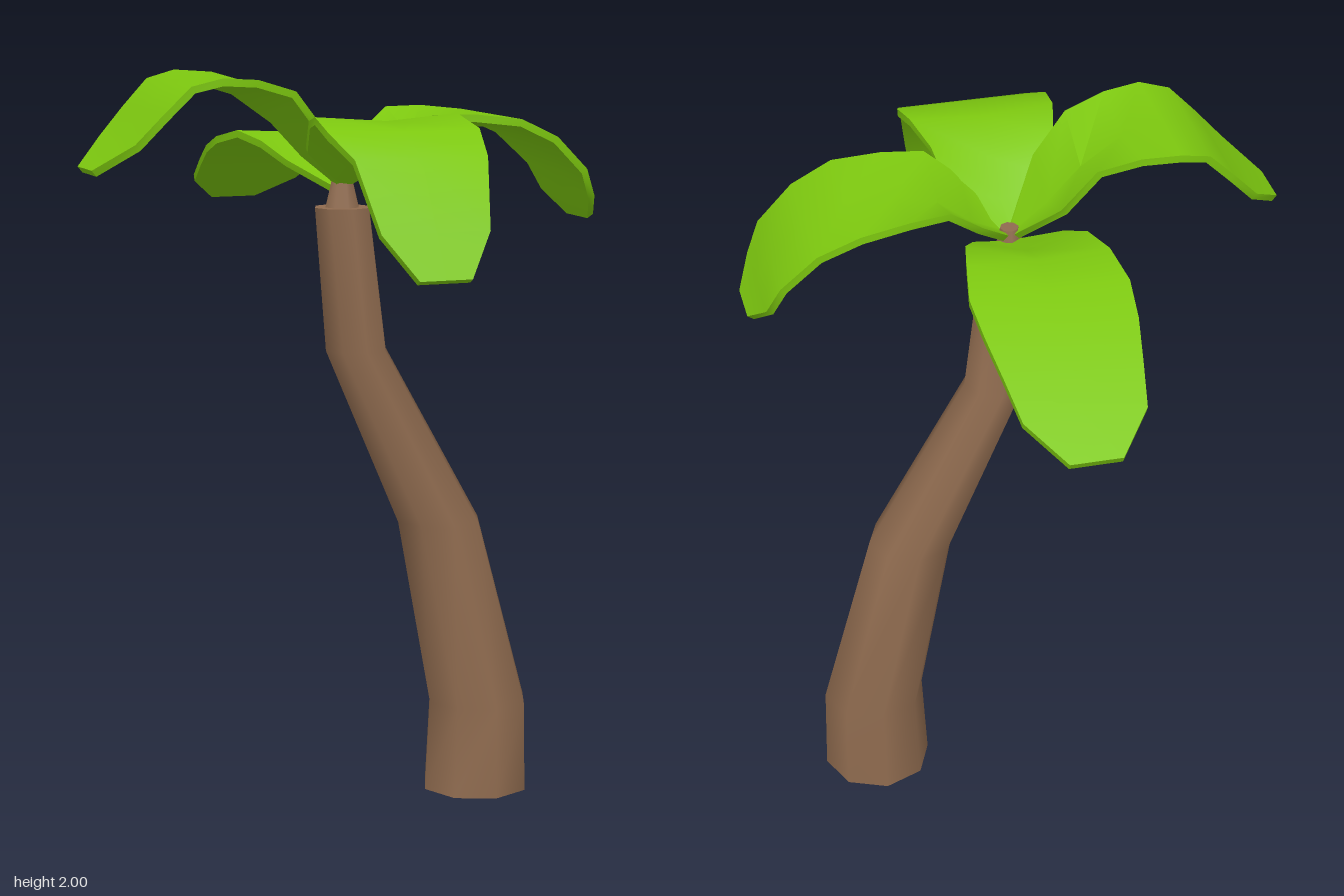
import * as THREE from 'three';
import { toCreasedNormals } from 'three/addons/utils/BufferGeometryUtils.js';

const CENTRE_Z = 0.095;
const LEAF_THICKNESS = 0.02;

// Trunk rings: [centre x, y, radius]
const TRUNK = [
  [0.4, 0, 0.15], [0.404, 0.25, 0.141], [0.283, 0.77, 0.118],
  [0.04, 1.255, 0.086], [0.0, 1.64, 0.077],
];

// Frond stations from base to tip: [distance out, edge height, half width, depth of the middle valley]
const FRONDS = {
  frontFrond: [-Math.PI / 2, [
    [0, 1.71, 0.015, 0], [0.1, 1.81, 0.14, 0.05], [0.19, 1.885, 0.165, 0.05], [0.315, 1.905, 0.195, 0.015],
    [0.435, 1.875, 0.205, 0], [0.55, 1.815, 0.178, 0], [0.645, 1.64, 0.145, 0], [0.71, 1.53, 0.07, 0]]],
  backFrond: [Math.PI / 2, [
    [0, 1.69, 0.015, 0], [0.1, 1.76, 0.12, 0.04], [0.19, 1.805, 0.16, 0.035], [0.315, 1.825, 0.185, 0.01],
    [0.435, 1.8, 0.205, 0], [0.555, 1.765, 0.195, 0], [0.675, 1.715, 0.175, 0], [0.79, 1.66, 0.155, 0],
    [0.9, 1.6, 0.067, 0]]],
  leftFrond: [0, [
    [0, 1.71, 0.015, 0], [0.1, 1.82, 0.14, 0.06], [0.19, 1.89, 0.167, 0.06], [0.3, 1.89, 0.187, 0.025],
    [0.43, 1.875, 0.203, 0], [0.54, 1.825, 0.19, 0], [0.635, 1.735, 0.175, 0], [0.67, 1.66, 0.15, 0],
    [0.708, 1.6, 0.065, 0]]],
  rightFrond: [Math.PI, [
    [0, 1.71, 0.015, 0], [0.1, 1.85, 0.15, 0.06], [0.19, 1.96, 0.167, 0.075], [0.3, 1.993, 0.187, 0.03],
    [0.4, 2.0, 0.203, 0], [0.48, 1.98, 0.19, 0], [0.55, 1.91, 0.177, 0], [0.62, 1.835, 0.16, 0],
    [0.708, 1.765, 0.065, 0]]],
};

// Bent, tapering trunk: every ring of a plain cylinder is moved and scaled
function trunkGeometry() {
  const geo = new THREE.CylinderGeometry(1, 1, 1, 8, TRUNK.length - 1);
  const pos = geo.attributes.position;
  for (let i = 0; i < pos.count; i++) {
    const [cx, y, r] = TRUNK[Math.round((pos.getY(i) + 0.5) * (TRUNK.length - 1))];
    pos.setXYZ(i, cx + pos.getX(i) * r, y, CENTRE_Z + pos.getZ(i) * r);
  }
  return toCreasedNormals(geo, 1.0);
}

// Solid frond pointing along +x: each station is a loop of three top and three bottom points
function frondGeometry(stations) {
  const points = [], index = [];
  stations.forEach(([d, y, w, valley], i) => {
    const a = stations[Math.max(i - 1, 0)];
    const b = stations[Math.min(i + 1, stations.length - 1)];
    const len = Math.hypot(b[0] - a[0], b[1] - a[1]);
    const ox = ((b[1] - a[1]) / len) * LEAF_THICKNESS;
    const oy = (-(b[0] - a[0]) / len) * LEAF_THICKNESS;
    points.push(d, y, -w, d, y - valley, 0, d, y, w);
    points.push(d + ox, y + oy, w, d + ox, y - valley + oy, 0, d + ox, y + oy, -w);
  });
  for (let i = 0; i < stations.length - 1; i++) {
    for (let k = 0; k < 6; k++) {
      const a = i * 6 + k, b = i * 6 + ((k + 1) % 6);
      index.push(a, b, a + 6, b, b + 6, a + 6);
    }
  }
  // end caps
  const e = (stations.length - 1) * 6;
  for (const [p, q, r, s] of [[0, 1, 4, 5], [1, 2, 3, 4]]) {
    index.push(p, r, q, p, s, r);
    index.push(e + p, e + q, e + r, e + p, e + r, e + s);
  }
  const geo = new THREE.BufferGeometry();
  geo.setAttribute('position', new THREE.Float32BufferAttribute(points, 3));
  geo.setIndex(index);
  return toCreasedNormals(geo, 0.85);
}

export function createModel() {
  const model = new THREE.Group();
  model.name = 'palmTree';
  const bark = new THREE.MeshStandardMaterial({ color: 0x8f6b4f });
  bark.name = 'barkBrown';
  const green = new THREE.MeshStandardMaterial({ color: 0x7dc80f });
  green.name = 'leafGreen';

  const add = (name, geometry, material) => {
    const mesh = new THREE.Mesh(geometry, material);
    mesh.name = name;
    model.add(mesh);
    return mesh;
  };

  add('trunk', trunkGeometry(), bark);

  // narrow tip that joins the trunk to the fronds
  add('trunkTip', new THREE.CylinderGeometry(0.025, 0.05, 0.1, 8), bark).position.set(0, 1.68, CENTRE_Z);

  for (const [name, [angle, stations]] of Object.entries(FRONDS)) {
    const frond = add(name, frondGeometry(stations), green);
    frond.rotation.y = angle;
    frond.position.z = CENTRE_Z;
  }
  return model;
}
